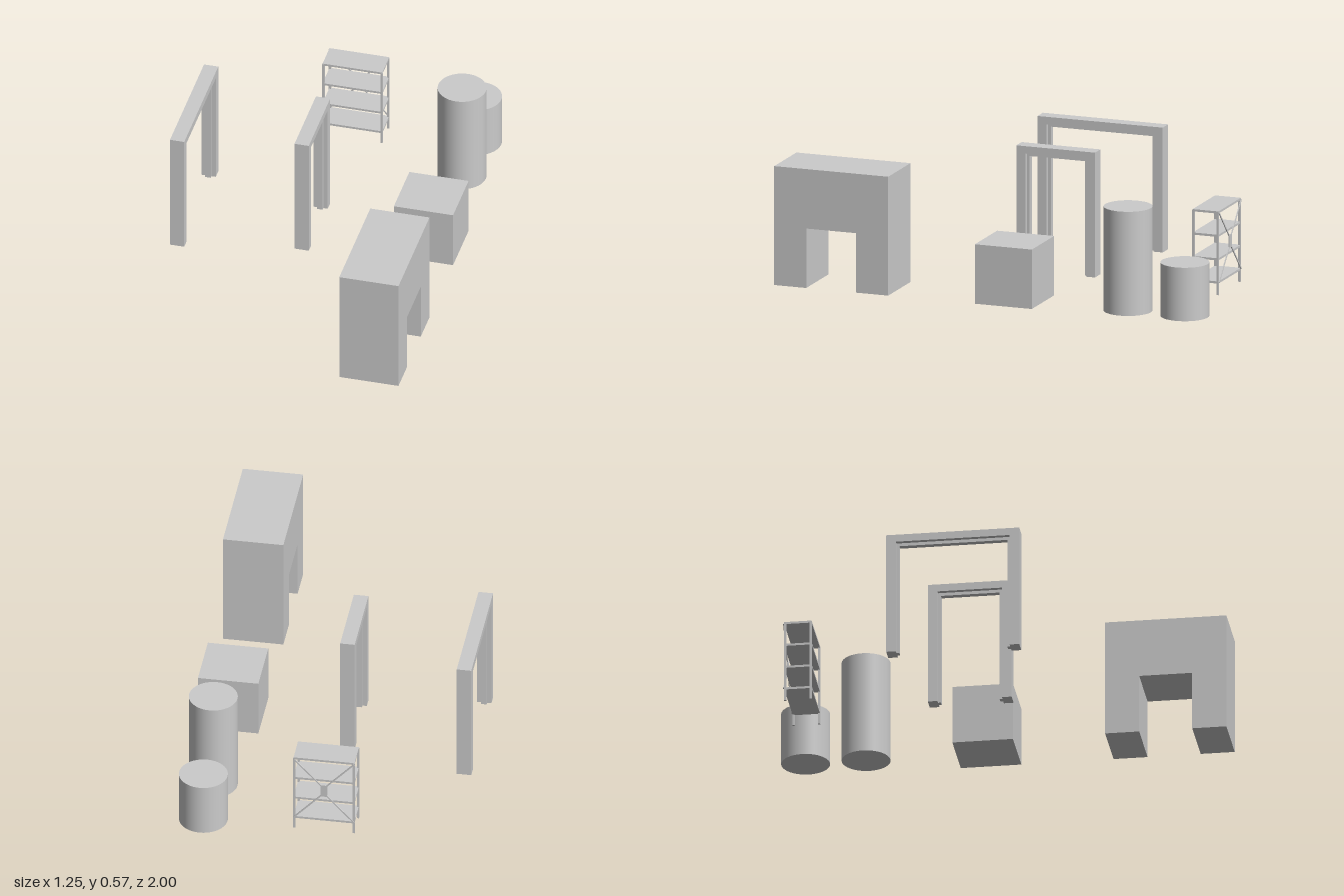
import * as THREE from 'three';

const material = new THREE.MeshStandardMaterial({ color: 0xcccccc });

function add(parent, name, geometry, x = 0, y = 0, z = 0) {
  const mesh = new THREE.Mesh(geometry, material);
  mesh.name = name;
  mesh.position.set(x, y, z);
  parent.add(mesh);
  return mesh;
}

// Box given by its min and max along each axis
function addBox(parent, name, [x0, x1], [y0, y1], [z0, z1]) {
  return add(parent, name, new THREE.BoxGeometry(x1 - x0, y1 - y0, z1 - z0),
    (x0 + x1) / 2, (y0 + y1) / 2, (z0 + z1) / 2);
}

// Portal outline in the z-y plane, extruded along x
function portal(width, height, leg, beam, base, depth) {
  const w = width / 2, i = w - leg;
  const shape = new THREE.Shape([
    [-w, base], [-i, base], [-i, height - beam], [i, height - beam],
    [i, base], [w, base], [w, height], [-w, height],
  ].map(([a, b]) => new THREE.Vector2(a, b)));
  return new THREE.ExtrudeGeometry(shape, { depth, bevelEnabled: false })
    .translate(0, 0, -depth / 2)
    .rotateY(-Math.PI / 2);
}

// Door frame: wide casing plus a narrower stop running around the inside
function doorFrame(name, x, z0, z1) {
  const frame = new THREE.Group();
  frame.name = name;
  const width = z1 - z0;
  add(frame, 'casing', portal(width, 0.567, 0.043, 0.034, 0, 0.065));
  add(frame, 'doorStop', portal(width - 0.08, 0.536, 0.016, 0.017, 0, 0.026));
  frame.position.set(x, 0, (z0 + z1) / 2);
  return frame;
}

// Shelving rack with four posts, four boards and a braced back
function shelfRack() {
  const rack = new THREE.Group();
  rack.name = 'shelfRack';
  const w = 0.138, d = 0.062, t = 0.01;
  for (const sx of [-1, 1]) {
    for (const sz of [-1, 1]) {
      add(rack, 'post', new THREE.BoxGeometry(t, 0.377, t),
        sx * (w - t / 2), 0.1885, sz * (d - t / 2));
    }
  }
  for (const y of [0.057, 0.162, 0.269, 0.375]) {
    add(rack, 'shelf', new THREE.BoxGeometry(2 * w - 0.004, t, 2 * d - 0.002), 0, y, 0);
  }
  // Diagonal braces meet at a small plate
  const backZ = -d - 0.002, midY = 0.216;
  for (const sx of [-1, 1]) {
    for (const sy of [-1, 1]) {
      const outer = new THREE.Vector2(sx * 0.134, midY + sy * 0.157);
      const inner = new THREE.Vector2(sx * 0.012, midY + sy * 0.026);
      const run = outer.clone().sub(inner);
      const brace = add(rack, 'brace', new THREE.BoxGeometry(run.length(), 0.006, 0.004),
        (outer.x + inner.x) / 2, (outer.y + inner.y) / 2, backZ);
      brace.rotation.z = run.angle();
    }
  }
  add(rack, 'bracePlate', new THREE.BoxGeometry(0.03, 0.06, 0.005), 0, midY, backZ);
  rack.position.set(-0.051, 0, -0.832);
  return rack;
}

export function createModel() {
  const model = new THREE.Group();
  model.name = 'buildingProps';

  // Block with a passage through it, and a plain cube
  add(model, 'archBlock', portal(0.54, 0.54, 0.152, 0.27, 0, 0.27), 0.488, 0, 0.73);
  addBox(model, 'cube', [0.353, 0.623], [0, 0.27], [-0.22, 0.05]);

  // Tall and short cylinders
  for (const [name, height, z] of [['tallCylinder', 0.473, -0.623], ['shortCylinder', 0.243, -0.892]]) {
    add(model, name, new THREE.CylinderGeometry(0.108, 0.108, height, 64), 0.488, height / 2, z);
  }

  model.add(doorFrame('wideDoorFrame', -0.592, -0.378, 0.215));
  model.add(doorFrame('narrowDoorFrame', -0.053, -0.268, 0.105));
  model.add(shelfRack());
  return model;
}
